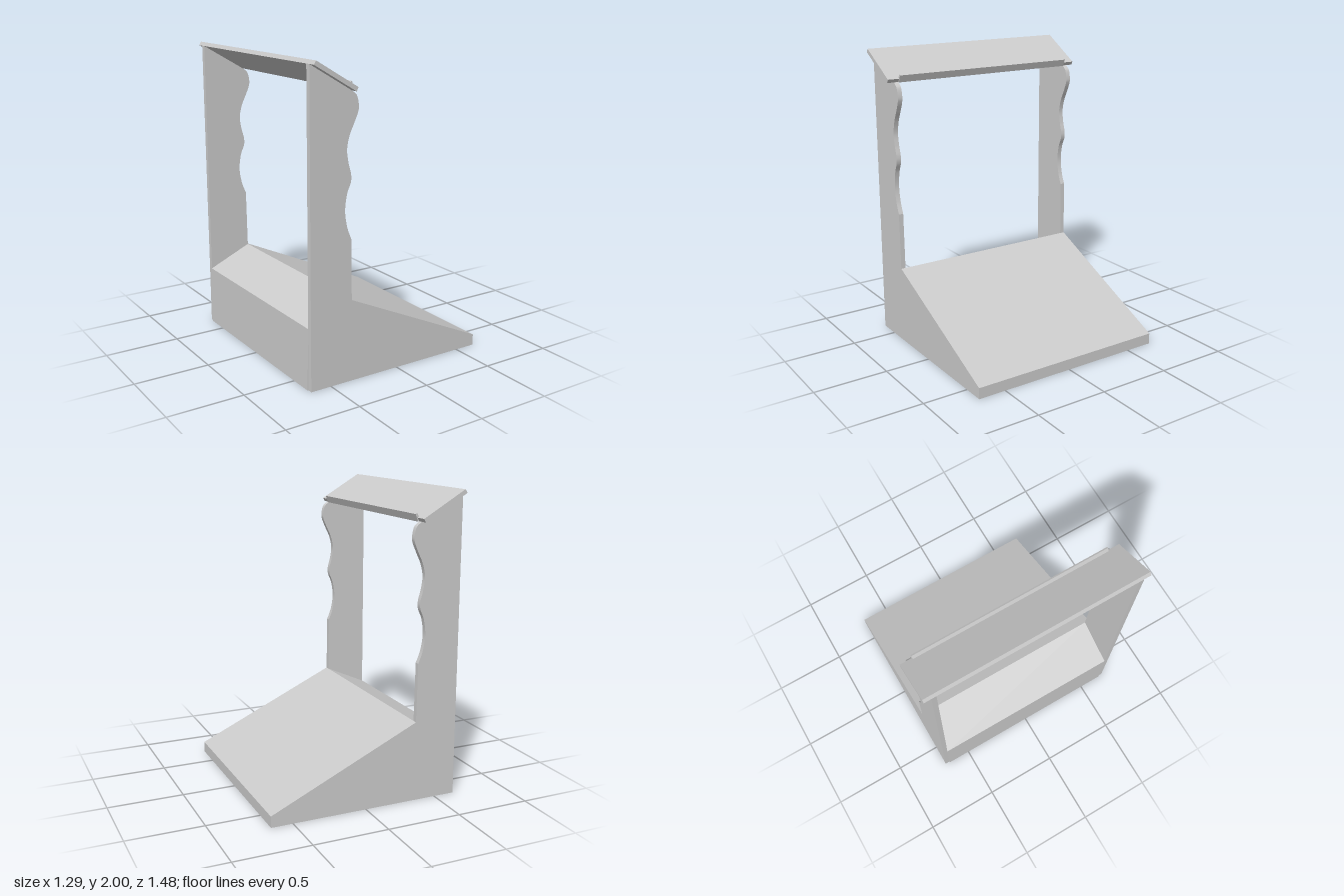
import * as THREE from 'three';

const material = new THREE.MeshStandardMaterial({ color: 0xcccccc });

// Extrudes an x-y outline along z between z0 and z1
function slab(name, shape, z0, z1) {
  const geometry = new THREE.ExtrudeGeometry(shape, { depth: z1 - z0, bevelEnabled: false, curveSegments: 40 });
  geometry.translate(0, 0, z0);
  const mesh = new THREE.Mesh(geometry, material);
  mesh.name = name;
  return mesh;
}

function outline(points) {
  return new THREE.Shape(points.map(([x, y]) => new THREE.Vector2(x, y)));
}

export function createModel() {
  const group = new THREE.Group();
  group.name = 'cabinet';
  const inner = 0.66, outer = 0.692;

  // Side panel: straight back, sloped foot, wavy front edge
  const side = new THREE.Shape();
  side.moveTo(-0.643, 0);
  side.lineTo(0.645, 0);
  side.lineTo(0.645, 0.075);
  side.lineTo(-0.35, 0.533);
  side.lineTo(-0.355, 0.92);
  side.splineThru([
    [-0.385, 1.0], [-0.4, 1.1], [-0.387, 1.2], [-0.36, 1.27], [-0.359, 1.32],
    [-0.377, 1.39], [-0.387, 1.47], [-0.37, 1.55], [-0.338, 1.62], [-0.312, 1.68],
    [-0.306, 1.72], [-0.32, 1.78], [-0.355, 1.81],
  ].map(([x, y]) => new THREE.Vector2(x, y)));
  side.lineTo(-0.64, 1.977);
  group.add(slab('leftSidePanel', side, -outer, -inner));
  group.add(slab('rightSidePanel', side, inner, outer));

  // Wedge base between the panels, with a ledge falling to the back
  const base = outline([
    [-0.65, 0], [0.645, 0], [0.645, 0.075], [-0.35, 0.533], [-0.643, 0.4],
  ]);
  group.add(slab('base', base, -inner, inner));

  // Sloped roof board, wider than the body
  const roof = outline([
    [-0.64, 1.977], [-0.355, 1.81], [-0.341, 1.833], [-0.625, 2.0],
  ]);
  group.add(slab('roof', roof, -0.74, 0.74));

  // Thin lip along the front edge of the roof
  const lip = outline([
    [-0.355, 1.81], [-0.346, 1.808], [-0.328, 1.855], [-0.338, 1.861], [-0.355, 1.832],
  ]);
  group.add(slab('roofLip', lip, -inner, inner));

  return group;
}
